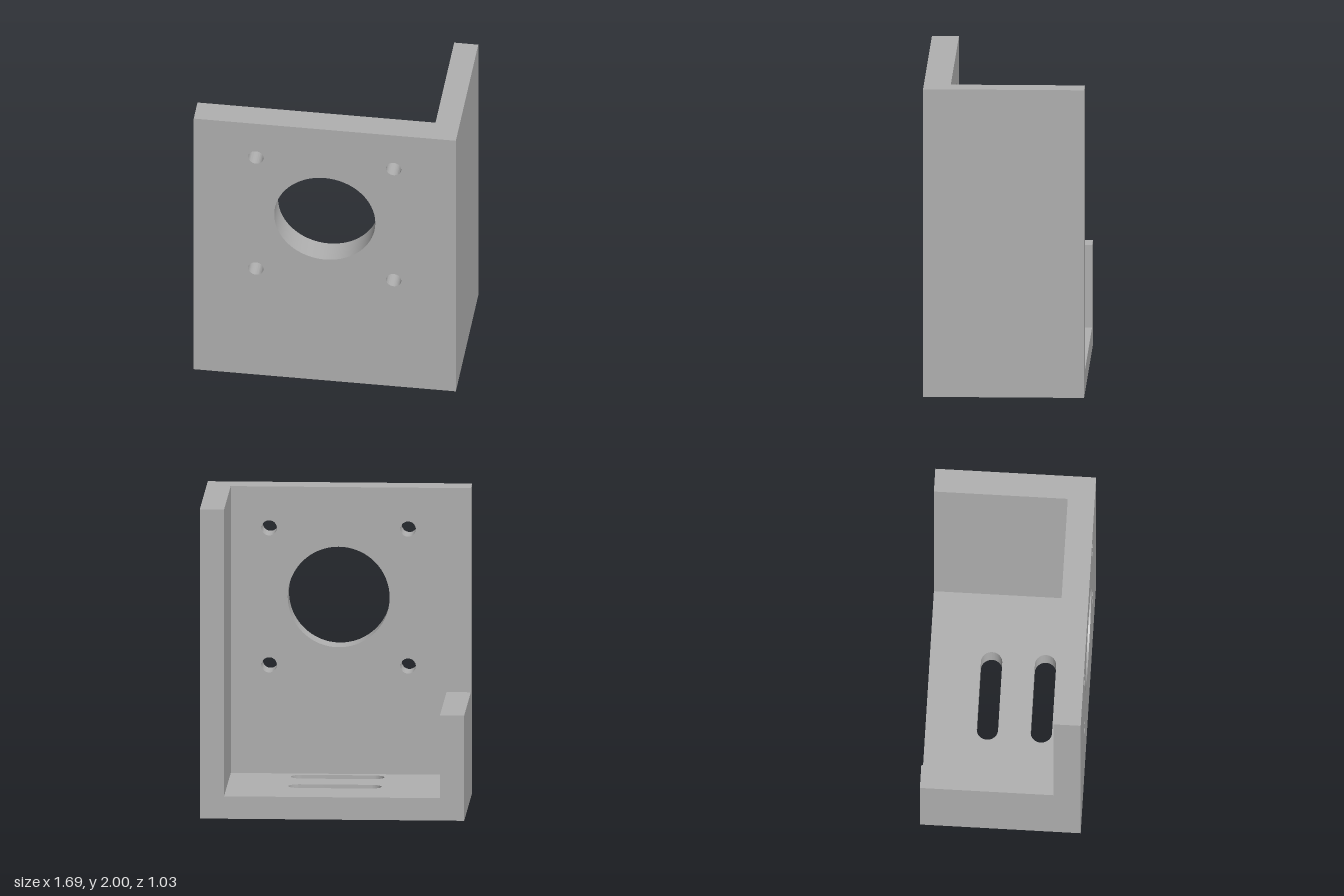
import * as THREE from 'three';
import { toCreasedNormals } from 'three/addons/utils/BufferGeometryUtils.js';

const W = 0.843, D = 0.513;           // half width, half depth
const WALL = 0.155, FRONT = 0.172, FLOOR = 0.145;
const INNER_Z = D - FRONT;            // back face of the front plate

// Rectangular outline, counter-clockwise
function rectShape(x0, y0, x1, y1) {
  return new THREE.Shape([
    new THREE.Vector2(x0, y0), new THREE.Vector2(x1, y0),
    new THREE.Vector2(x1, y1), new THREE.Vector2(x0, y1),
  ]);
}

function roundHole(x, y, r) {
  return new THREE.Path().absarc(x, y, r, 0, Math.PI * 2, true);
}

// Slot with rounded ends, running along x
function slotHole(y, halfLength, r) {
  const c = halfLength - r;
  const p = new THREE.Path();
  p.absarc(c, y, r, -Math.PI / 2, Math.PI / 2, false);
  p.absarc(-c, y, r, Math.PI / 2, Math.PI * 1.5, false);
  p.closePath();
  return p;
}

function plate(shape, depth) {
  const geo = new THREE.ExtrudeGeometry(shape, { depth, bevelEnabled: false, curveSegments: 48 });
  return toCreasedNormals(geo, Math.PI / 6);
}

export function createModel() {
  const group = new THREE.Group();
  group.name = 'motorBracket';
  const grey = new THREE.MeshStandardMaterial({ color: 0xb0b0b0 });
  grey.name = 'grey';

  const add = (name, geo, x, y, z) => {
    const mesh = new THREE.Mesh(geo, grey);
    mesh.name = name;
    mesh.position.set(x, y, z);
    group.add(mesh);
    return mesh;
  };

  // Front plate with the large bore and four bolt holes
  const front = rectShape(-W, 0, W, 2);
  const cy = 1.289, bolt = 0.443;
  front.holes.push(roundHole(0, cy, 0.325));
  for (const sx of [-1, 1]) {
    for (const sy of [-1, 1]) front.holes.push(roundHole(sx * bolt, cy + sy * bolt, 0.049));
  }
  add('frontPlate', plate(front, FRONT), 0, 0, INNER_Z);

  // Floor with two adjustment slots; shape y becomes -z
  const floor = rectShape(-W + WALL, -INNER_Z, W - WALL, D);
  for (const z of [-0.118, 0.226]) floor.holes.push(slotHole(-z, 0.297, 0.068));
  add('floor', plate(floor, FLOOR), 0, 0, 0).rotation.x = -Math.PI / 2;

  // Side walls: tall on the left, low on the right
  const depth = INNER_Z + D;
  for (const [name, side, height] of [['tallLeftWall', 1, 2], ['lowRightWall', -1, 0.68]]) {
    add(name, new THREE.BoxGeometry(WALL, height, depth),
      side * (W - WALL / 2), height / 2, INNER_Z - depth / 2);
  }
  return group;
}
